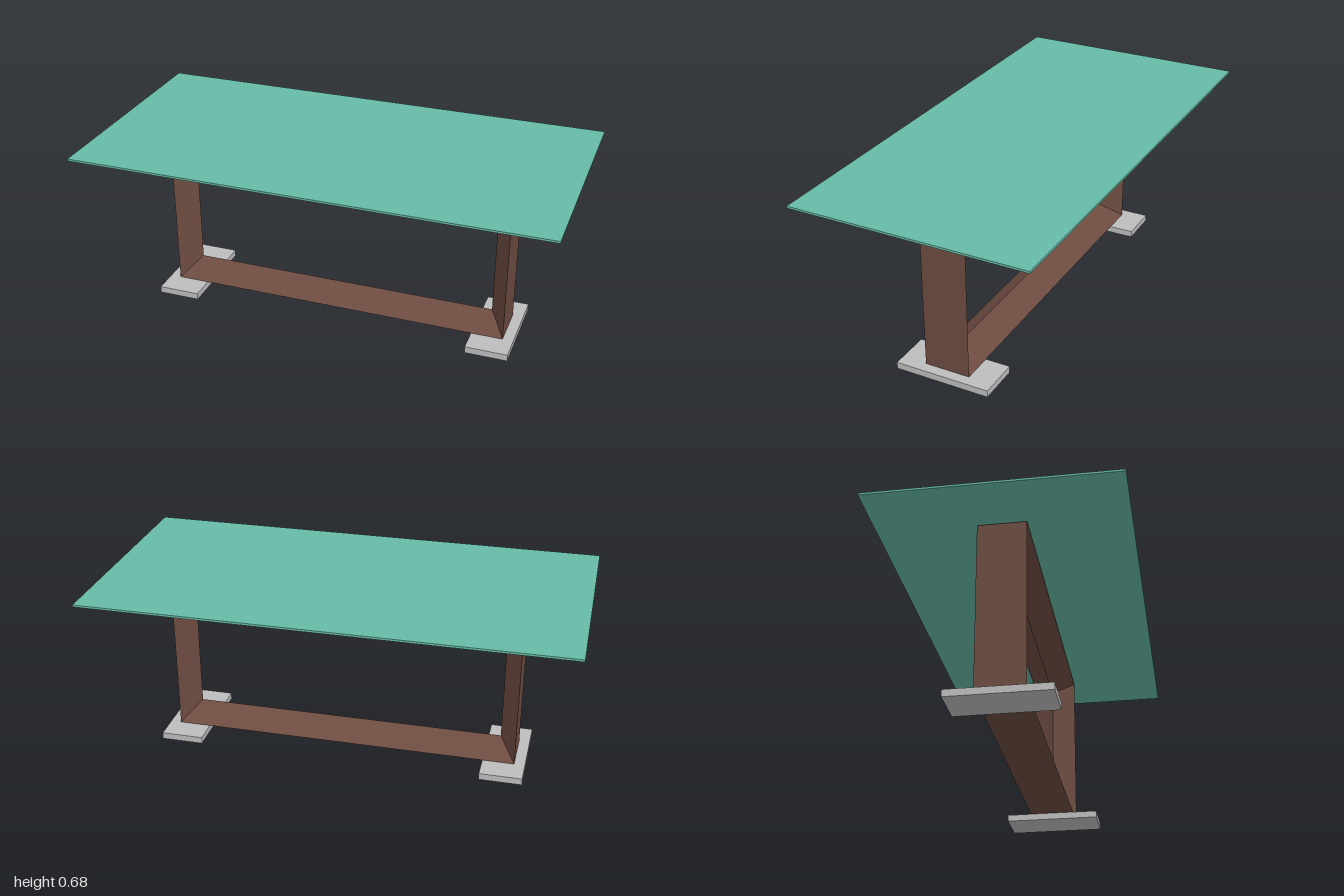
import * as THREE from 'three';

const material = (name, color) => {
  const m = new THREE.MeshStandardMaterial({ color });
  m.name = name;
  return m;
};

// Mitred rectangular loop with a triangular section: flat outside, ridge inside
function mitredFrame(halfLength, bottom, top, halfWidth, depth) {
  const ring = (inset, z) => [
    [-halfLength + inset, bottom + inset, z],
    [halfLength - inset, bottom + inset, z],
    [halfLength - inset, top - inset, z],
    [-halfLength + inset, top - inset, z],
  ];
  const rings = [ring(0, halfWidth), ring(depth, 0), ring(0, -halfWidth)];
  const positions = [];
  for (let k = 0; k < 3; k++) {
    const from = rings[k], to = rings[(k + 1) % 3];
    for (let i = 0; i < 4; i++) {
      const j = (i + 1) % 4;
      for (const p of [from[i], from[j], to[j], from[i], to[j], to[i]]) positions.push(...p);
    }
  }
  const geometry = new THREE.BufferGeometry();
  geometry.setAttribute('position', new THREE.Float32BufferAttribute(positions, 3));
  geometry.computeVertexNormals();
  return geometry;
}

export function createModel() {
  const wood = material('brown wood', 0x6d4c41);
  const glass = material('teal glass', 0x66bba6);
  const metal = material('grey metal', 0xbdbdbd);

  const table = new THREE.Group();
  table.name = 'table';
  const add = (name, geometry, mat, x, y) => {
    const mesh = new THREE.Mesh(geometry, mat);
    mesh.name = name;
    mesh.position.set(x, y, 0);
    table.add(mesh);
  };

  // Table top and frame
  add('tableTop', new THREE.BoxGeometry(1.79, 0.008, 0.895), glass, 0, 0.677);
  add('frame', mitredFrame(0.667, 0.026, 0.663, 0.088, 0.065), wood, 0, 0);

  // Foot plates and round spacers under the top, one at each end
  for (const [side, s] of [['left', 1], ['right', -1]]) {
    add(side + 'Foot', new THREE.BoxGeometry(0.162, 0.026, 0.368), metal, s * 0.627, 0.013);
    add(side + 'Spacer', new THREE.CylinderGeometry(0.044, 0.044, 0.01, 32), wood, s * 0.487, 0.668);
  }

  // The whole table stands turned on the floor
  table.rotation.y = Math.PI / 6;
  const model = new THREE.Group();
  model.name = 'turnedTable';
  model.add(table);
  return model;
}
